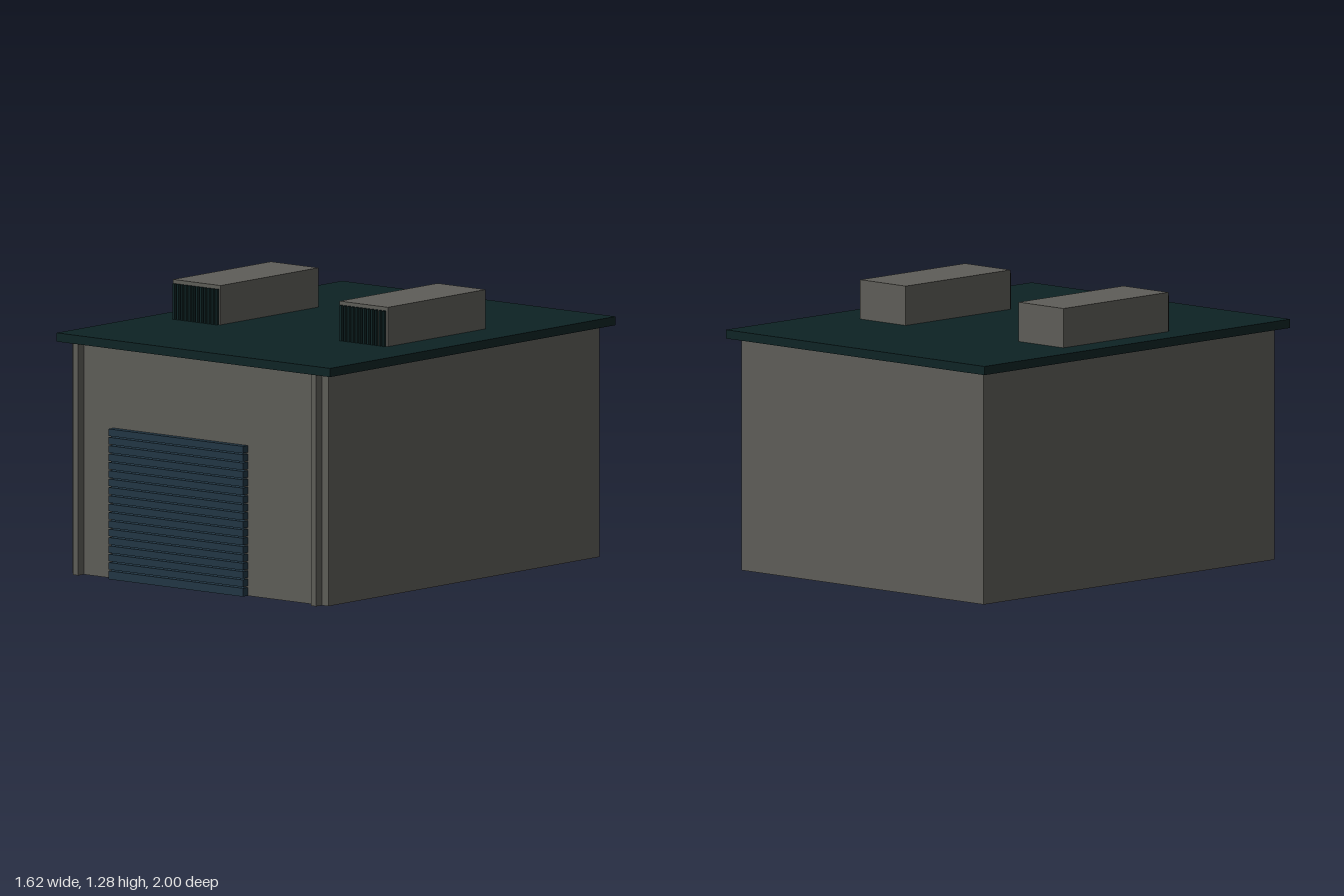
import * as THREE from 'three';

export function createModel() {
  const group = new THREE.Group();
  const material = (name, color) => {
    const m = new THREE.MeshStandardMaterial({ color });
    m.name = name;
    return m;
  };
  const wallGrey = material('wallGrey', 0x5e5d58);
  const roofGreen = material('roofGreen', 0x0d2324);
  const doorBlue = material('doorBlue', 0x213644);

  // Box given by its extents on each axis
  const box = (name, mat, [x0, x1], [y0, y1], [z0, z1], parent = group) => {
    const mesh = new THREE.Mesh(new THREE.BoxGeometry(x1 - x0, y1 - y0, z1 - z0), mat);
    mesh.position.set((x0 + x1) / 2, (y0 + y1) / 2, (z0 + z1) / 2);
    mesh.name = name;
    parent.add(mesh);
    return mesh;
  };

  // Main building and overhanging flat roof
  box('walls', wallGrey, [-0.758, 0.758], [0, 1.06], [-0.95, 0.95]);
  box('roof', roofGreen, [-0.81, 0.81], [1.06, 1.1], [-1, 1]);

  // Narrow downpipes near the front corners
  box('leftPilaster', wallGrey, [0.69, 0.72], [0, 1.06], [0.95, 0.99]);
  box('rightPilaster', wallGrey, [-0.72, -0.69], [0, 1.06], [0.95, 0.99]);

  // Roller door: horizontal slats with narrow gaps
  const door = new THREE.Group();
  door.name = 'rollerDoor';
  group.add(door);
  const slats = 18, pitch = 0.688 / slats;
  for (let i = 0; i < slats; i++) {
    const top = (i + 1) * pitch;
    box('doorSlat', doorBlue, [-0.515, 0.281], [i ? top - 0.032 : 0, top], [0.95, 0.985], door);
  }

  // Rooftop units with vertical fins across the front
  for (const [name, x0, x1] of [['rightRoofUnit', -0.676, -0.394], ['leftRoofUnit', 0.312, 0.597]]) {
    const unit = new THREE.Group();
    unit.name = name;
    group.add(unit);
    box('housing', wallGrey, [x0, x1], [1.1, 1.28], [-0.343, 0.343], unit);
    const fins = 12, step = (x1 - x0 - 0.032) / (fins - 1);
    for (let i = 0; i < fins; i++) {
      const x = x0 + 0.016 + i * step;
      box('fin', roofGreen, [x - 0.0055, x + 0.0055], [1.1, 1.263], [0.343, 0.357], unit);
    }
  }
  return group;
}
